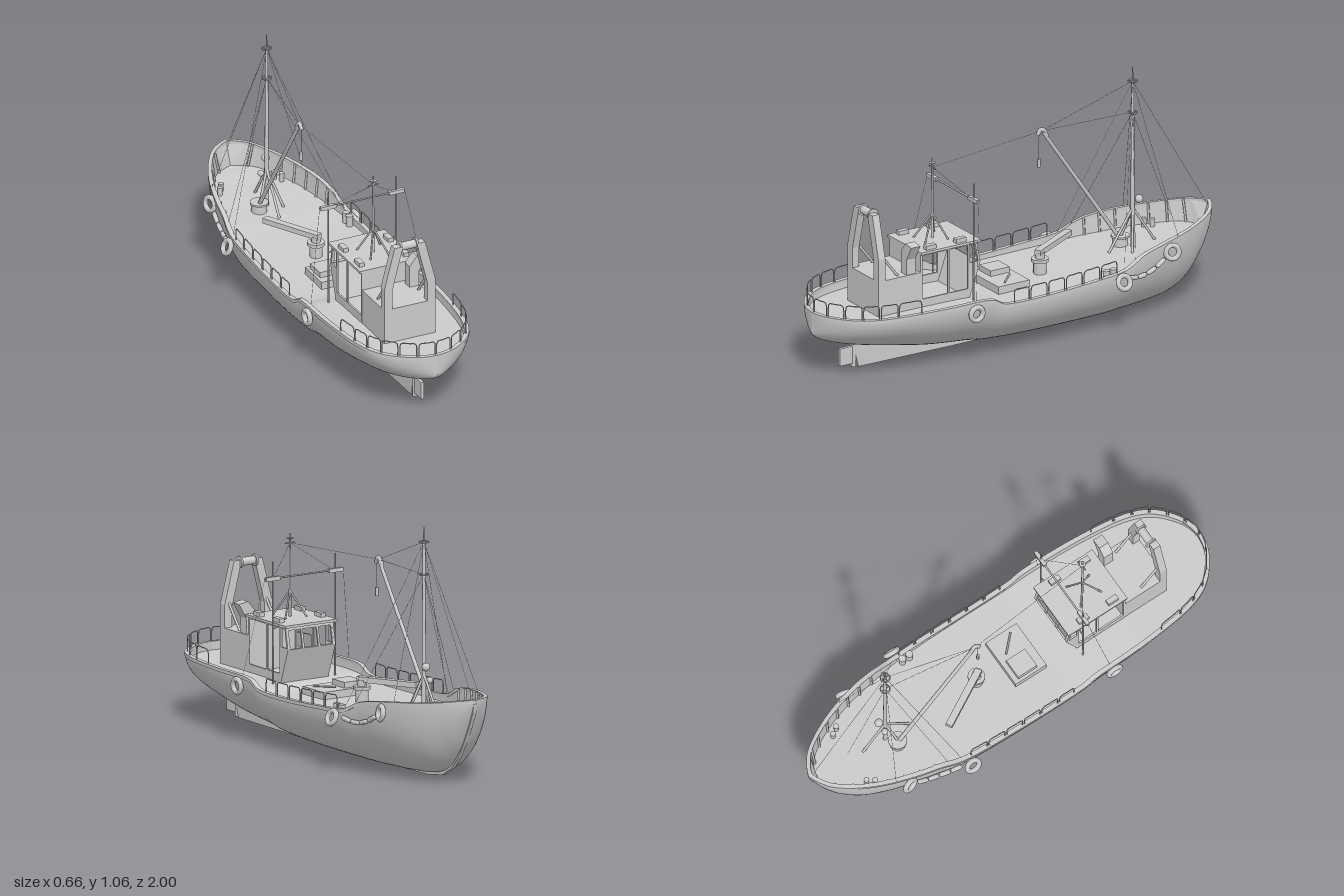
import * as THREE from 'three';
import { toCreasedNormals } from 'three/addons/utils/BufferGeometryUtils.js';

const mat = new THREE.MeshStandardMaterial({ color: 0xcccccc });
const thin = new THREE.MeshStandardMaterial({ color: 0xcccccc, side: THREE.DoubleSide });
const V = (x, y, z) => new THREE.Vector3(x, y, z);

// Hull stations, bow to stern: z, half width, keel y, gunwale y, deck y
const stations = [
  [-1, 0, .37, .385, .28], [-.985, .035, .33, .383, .28], [-.95, .085, .25, .378, .28],
  [-.9, .125, .16, .37, .278], [-.82, .17, .07, .36, .27], [-.72, .21, .03, .35, .265],
  [-.6, .243, .018, .337, .255], [-.5, .26, .014, .317, .25], [-.4, .274, .013, .275, .24],
  [-.25, .282, .013, .262, .235], [0, .285, .016, .25, .23], [.2, .285, .025, .253, .23],
  [.29, .285, .036, .288, .25], [.5, .28, .06, .29, .255], [.7, .262, .1, .29, .255],
  [.82, .235, .125, .29, .255], [.9, .19, .145, .29, .255], [.96, .12, .165, .29, .255],
  [.99, .06, .185, .29, .255], [1, 0, .2, .29, .255]];
const LAST = stations.length - 1;

// Smooth interpolation between stations
function at(t) {
  const i = Math.min(Math.floor(t), LAST - 1), f = t - i;
  const row = n => stations[Math.max(0, Math.min(LAST, n))];
  const [z, w, k, s, d] = row(i).map((b, c) => {
    const a = row(i - 1)[c], e = row(i + 1)[c], g = row(i + 2)[c];
    return b + .5 * f * (e - a + f * (2 * a - 5 * b + 4 * e - g + f * (3 * (b - e) + g - a)));
  });
  return { z, w: Math.max(0, w), k, s, d: Math.max(d, k) };
}
function tOf(z) {
  let lo = 0, hi = LAST;
  for (let n = 0; n < 30; n++) { const m = (lo + hi) / 2; if (at(m).z < z) lo = m; else hi = m; }
  return lo;
}
// Half width of the hull side at a height
function widthAt(h, y) {
  const c = Math.min(1, Math.max(0, (h.s - y) / (h.s - h.k)));
  return h.w * Math.sqrt(1 - c * c);
}

function loft(rows) {
  const n = rows[0].length, index = [];
  for (let i = 0; i < rows.length - 1; i++) for (let j = 0; j < n - 1; j++) {
    const a = i * n + j, b = a + n;
    index.push(a, a + 1, b, b, a + 1, b + 1);
  }
  const g = new THREE.BufferGeometry().setFromPoints(rows.flat());
  g.setIndex(index);
  g.computeVertexNormals();
  return g;
}

export function createModel() {
  const root = new THREE.Group();
  const add = (name, geo, material = mat) => {
    const m = new THREE.Mesh(geo, material);
    m.name = name;
    root.add(m);
    return m;
  };
  const box = (name, x0, x1, y0, y1, z0, z1) =>
    add(name, new THREE.BoxGeometry(x1 - x0, y1 - y0, z1 - z0)).position.set((x0 + x1) / 2, (y0 + y1) / 2, (z0 + z1) / 2);
  const rod = (name, a, b, r, r2 = r, sides = 8) => {
    const m = add(name, new THREE.CylinderGeometry(r2, r, a.distanceTo(b), sides));
    m.position.copy(a).lerp(b, .5);
    m.quaternion.setFromUnitVectors(V(0, 1, 0), b.clone().sub(a).normalize());
    return m;
  };
  const tube = (name, pts, r, seg = 24) =>
    add(name, new THREE.TubeGeometry(new THREE.CatmullRomCurve3(pts, false, 'centripetal'), seg, r, 5));
  const ball = (name, x, y, z, r) => add(name, new THREE.SphereGeometry(r, 14, 10)).position.set(x, y, z);
  const shape = pts => new THREE.Shape(pts.map(p => new THREE.Vector2(...p)));
  // Extrude a z-y outline across x
  const acrossX = (name, s, x0, x1) => {
    const g = new THREE.ExtrudeGeometry(s, { depth: x1 - x0, bevelEnabled: false });
    add(name, g.rotateY(-Math.PI / 2).translate(x1, 0, 0));
  };

  // Hull, bulwark, gunwale and deck
  const steps = Array.from({ length: LAST * 5 + 1 }, (_, i) => at(i / 5));
  add('hull', loft(steps.map(h => Array.from({ length: 41 }, (_, j) => {
    const a = (j / 20 - 1) * Math.PI / 2;
    return V(h.w * Math.sin(a), h.s - (h.s - h.k) * Math.cos(a), h.z);
  }))), thin);
  const inX = .95, inZ = .985;
  add('deck', loft(steps.map(h => [-1, 0, 1].map(s => V(s * widthAt(h, h.d) * inX, h.d, h.z * inZ)))), thin);
  for (const s of [-1, 1]) {
    add('bulwark', loft(steps.map(h => [V(s * h.w * inX, h.s, h.z * inZ),
      V(s * widthAt(h, h.d) * inX, h.d, h.z * inZ)])), thin);
    add('gunwale', toCreasedNormals(loft(steps.map(h =>
      [[1.012, -.012], [1.012, .003], [.94, .003], [.94, -.012], [1.012, -.012]].map(([f, y]) =>
        V(s * h.w * f, h.s + y, h.z * (f > 1 ? 1 : .982))))), .6), thin);
    for (const z of [-.94, -.88, -.81, -.74, -.67, -.6, -.53]) {
      const h = at(tOf(z));
      rod('bulwarkRib', V(s * widthAt(h, h.d) * .94, h.d, h.z * .98), V(s * h.w * .94, h.s, h.z * .98), .006, .006, 4);
    }
  }

  // Keel with stem, and rudder
  const keel = steps.filter(h => h.z < .8);
  acrossX('keel', shape([...keel.map(h => [h.z, h.k + .01]), [.8, .12], [.77, .003], [.3, 0], [-.3, .002], [-.65, .008],
    [-.76, .025], [-.83, .065], [-.88, .12], [-.92, .185], [-.96, .26], [-.99, .33], [-1, .38]]), -.009, .009);
  box('rudder', -.007, .007, .022, .1, .795, .862);
  rod('rudderPost', V(0, .005, .79), V(0, .15, .79), .011);

  // Hoop railings
  const hoop = (s, t0, t1, height) => {
    const p = (f, y) => { const h = at(t0 + (t1 - t0) * f); return V(s * h.w * .975, h.s + y * height, h.z * .988); };
    tube('railing', [p(0, 0), p(0, .7), p(.04, .92), p(.14, 1), p(.5, 1), p(.86, 1), p(.96, .92), p(1, .7), p(1, 0)], .0025, 32);
  };
  for (const s of [-1, 1]) {
    for (const [a, b] of [[13.6, 14.2], [14.25, 14.9], [14.98, 15.7], [15.78, 16.55], [16.65, 17.6], [17.75, 18.9]]) hoop(s, a, b, .062);
    for (const [a, b] of [[-.36, -.28], [-.27, -.19], [-.18, -.1], [-.09, -.01], [0, .08], [.09, .165]]) hoop(s, tOf(a), tOf(b), .06);

    // Tyre fenders and the string of fenders between them
    for (const [z, y, x, tilt] of [[.36, .245, .293, 0], [-.37, .24, .306, .4], [-.65, .3, .247, .15]]) {
      const tyre = add('tyreFender', new THREE.TorusGeometry(.029, .011, 10, 24));
      tyre.position.set(s * x, y, z);
      tyre.rotation.set(0, s * (Math.PI / 2 + (z < -.5 ? -.25 : 0)), s * tilt, 'ZYX');
    }
    const link = i => {
      const z = -.41 - i * .051, h = at(tOf(z)), y = .245 + .035 * (i / 4) ** 2 - .02 * Math.sin(i / 4 * Math.PI);
      return V(s * (widthAt(h, y) + .012), y, z);
    };
    for (let i = 0; i < 4; i++) {
      const a = link(i), b = link(i + 1), m = add('sausageFender', new THREE.CapsuleGeometry(.01, a.distanceTo(b) * .6, 4, 10));
      m.position.copy(a).lerp(b, .5);
      m.quaternion.setFromUnitVectors(V(0, 1, 0), b.sub(a).normalize());
    }
    // Mooring bollards
    for (const [x, z] of [[.125, -.79], [.145, -.76]]) rod('bollard', V(s * x, .26, z), V(s * x, .305, z), .01, .012, 12);
  }
  for (const z of [-.355, -.32]) rod('bollard', V(.245, .23, z), V(.245, .285, z), .014, .016, 12);

  // Wheelhouse: side frames, front, back and roof
  for (const s of [-1, 1]) {
    const side = shape([[.53, .25], [.53, .495], [.25, .495], [.232, .4], [.285, .25]]);
    for (const hole of [[[.522, .29], [.395, .29], [.395, .485], [.522, .485]], [[.385, .29], [.295, .29], [.295, .485], [.385, .485]],
      [[.285, .405], [.243, .405], [.257, .485], [.285, .485]]]) side.holes.push(new THREE.Path(hole.map(p => new THREE.Vector2(...p))));
    acrossX('wheelhouseSide', side, s * .117 - .004, s * .117 + .004);
  }
  acrossX('wheelhouseFront', shape([[.285, .25], [.293, .25], [.24, .402], [.232, .4]]), -.118, .118);
  acrossX('windowHeader', shape([[.247, .48], [.255, .48], [.259, .496], [.25, .496]]), -.118, .118);
  for (const x of [-.112, -.04, .04, .112])
    acrossX('windowPost', shape([[.232, .4], [.24, .4], [.258, .49], [.25, .49]]), x - .005, x + .005);
  box('wheelhouseBack', -.12, .12, .25, .496, .524, .532);
  box('wheelhouseRoof', -.132, .132, .493, .504, .235, .535);
  for (const x of [-.105, .105]) for (const z of [.325, .475]) box('roofLight', x - .012, x + .012, .504, .522, z - .025, z + .025);

  // Aft cabin and bent exhaust casing
  box('aftCabin', -.12, .12, .25, .412, .53, .742);
  const casing = new THREE.ExtrudeGeometry(shape([[.07, .41], [.115, .41], [.115, .48], [.152, .545], [.105, .552], [.07, .51]]),
    { depth: .045, bevelEnabled: false });
  add('exhaustCasing', casing.translate(0, 0, .553));

  // Stern gantry with drum
  for (const s of [-1, 1]) {
    const leg = new THREE.ExtrudeGeometry(shape([[.12, .26], [.12, .51], [.072, .695], [.04, .695], [.04, .665], [.082, .5], [.082, .26]]
      .map(([x, y]) => [s * x, y])), { depth: .034, bevelEnabled: false });
    add('gantryLeg', leg.translate(0, 0, .708));
    rod('gantryStrut', V(s * .095, .52, .715), V(s * .095, .41, .63), .006);
    rod('drumFlange', V(s * .034, .685, .718), V(s * .042, .685, .718), .026, .026, 20);
  }
  rod('gantryDrum', V(-.036, .685, .718), V(.036, .685, .718), .018, .018, 20);

  // Side poles carrying the cross bar
  for (const s of [-1, 1]) {
    rod('sidePole', V(s * .158, .25, .29), V(s * .158, .775, .29), .004, .003);
    box('barPlate', s * .16 - .036, s * .16 + .036, .694, .711, .282, .298);
    rod('poleBracket', V(s * .118, .5, .29), V(s * .158, .485, .29), .003);
  }
  rod('crossBar', V(-.2, .703, .29), V(.2, .703, .29), .004);

  // Roof mast on a tripod
  rod('roofMast', V(0, .5, .395), V(0, .86, .395), .006, .004);
  for (const [x, z] of [[-.055, .35], [.055, .35], [-.045, .46], [.045, .46]]) rod('roofMastLeg', V(x, .503, z), V(0, .615, .395), .004);
  rod('roofMastSpreader', V(-.025, .82, .395), V(.025, .82, .395), .003);
  rod('roofMastCap', V(0, .838, .395), V(0, .842, .395), .014, .014, 12);

  // Foremast
  rod('foremast', V(0, .25, -.61), V(0, 1, -.61), .01, .006, 12);
  rod('topmast', V(0, 1, -.61), V(0, 1.063, -.61), .004, .002);
  for (const y of [.86, 1]) {
    const ring = add('mastRing', new THREE.TorusGeometry(.02, .003, 6, 20));
    ring.rotation.x = Math.PI / 2;
    ring.position.set(0, y, -.61);
    rod('crosstree', V(-.024, y, -.61), V(.024, y, -.61), .003);
    rod('crosstree', V(0, y, -.632), V(0, y, -.588), .003);
  }
  for (const [x, z] of [[-.06, -.57], [.06, -.57], [0, -.73], [0, -.49]]) rod('mastLeg', V(x, .25, z), V(0, .43, -.61), .006);
  ball('mastFloat', .008, .467, -.637, .018);
  ball('mastFloat', -.02, .405, -.625, .014);

  // Cargo boom, its winch base and hook
  rod('boomBase', V(-.05, .245, -.58), V(-.05, .29, -.58), .034, .034, 20);
  rod('boomBaseRim', V(-.05, .29, -.58), V(-.05, .298, -.58), .04, .04, 20);
  rod('boom', V(-.052, .295, -.57), V(-.055, .84, -.195), .009, .008, 10);
  tube('boomHead', [V(-.055, .815, -.215), V(-.055, .845, -.2), V(-.055, .852, -.185), V(-.055, .83, -.168)], .01);
  rod('hookLine', V(-.055, .83, -.175), V(-.055, .72, -.175), .001, .001, 4);
  rod('hookBlock', V(-.055, .685, -.175), V(-.055, .722, -.175), .007);

  // Deck crane
  rod('craneBase', V(0, .225, -.145), V(0, .29, -.145), .028, .028, 20);
  rod('craneRim', V(0, .285, -.145), V(0, .3, -.145), .037, .037, 20);
  rod('craneColumn', V(0, .3, -.145), V(0, .325, -.145), .02, .02, 12);
  const arm = add('craneArm', new THREE.BoxGeometry(.03, .024, .28));
  arm.position.set(-.06, .328, -.25);
  arm.rotation.y = Math.atan2(.125, .225);

  // Cargo hatch
  box('hatchCoaming', -.113, .112, .22, .262, -.022, .135);
  box('hatchCover', -.1, -.01, .262, .287, 0, .095);
  rod('hatchHandle', V(.02, .268, .02), V(.09, .268, .09), .004);

  // Standing rigging
  const head = V(0, 1, -.61), mid = V(0, .86, -.61), tip = V(-.055, .845, -.19);
  const wires = [[head, V(0, .385, -.975)], [mid, V(0, .36, -.8)], [mid, tip], [head, tip], [tip, V(0, .82, .395)]];
  for (const s of [-1, 1]) wires.push([head, V(s * .26, .28, -.4)], [head, V(s * .215, .345, -.7)], [mid, V(s * .255, .3, -.46)],
    [V(0, .82, .395), V(s * .158, .7, .29)], [V(s * .2, .7, .29), V(s * .27, .29, .35)]);
  for (const [a, b] of wires) rod('rigging', a, b, .0008, .0008, 4);

  return root;
}
